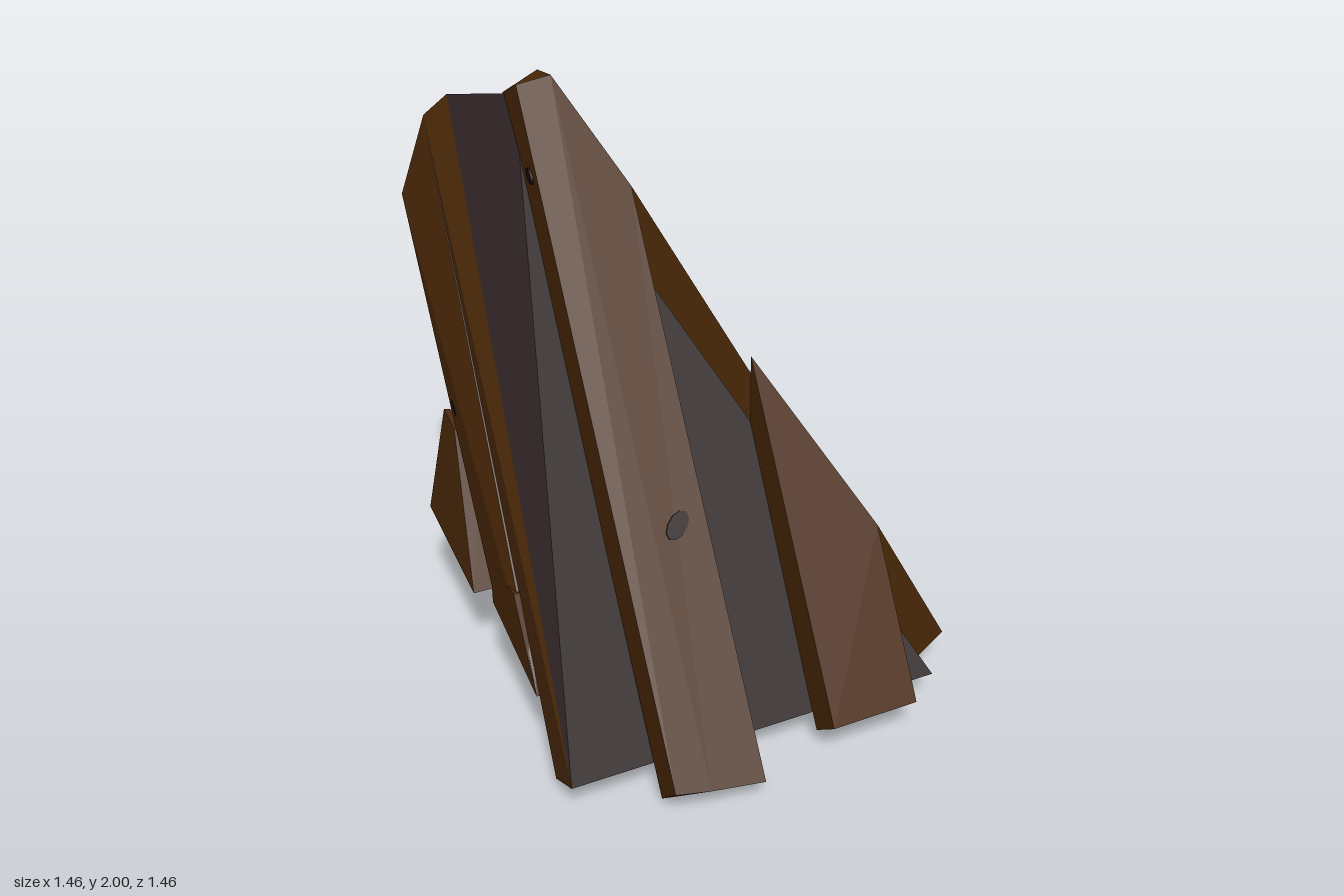
import * as THREE from 'three';

export function createModel() {
  const wood = new THREE.MeshStandardMaterial({ color: 0x4a2808 });
  wood.name = 'brown wood';
  const dark = new THREE.MeshStandardMaterial({ color: 0x1b0405 });
  dark.name = 'dark boarding';
  const model = new THREE.Group();
  model.name = 'cornerRoof';

  // All slopes run parallel: z = k - SLOPE * y
  const SLOPE = 0.568;
  const zAt = (k, y) => k - SLOPE * y;
  const yAt = (k, z) => (k - z) / SLOPE;
  const OUTER = 0.775, SEAT = 0.626, PANEL_IN = 0.42, RAFTER_IN = 0.156;

  // Solid lofted through polygon sections.
  // Groups: 0 body, 1 first cap, 2 foot (the strip along the first edge)
  function loft(sections) {
    const n = sections[0].length, sides = [], first = [], foot = [];
    for (let s = 0; s + 1 < sections.length; s++) {
      const a = sections[s], b = sections[s + 1];
      for (let i = 0; i < n; i++) {
        const j = (i + 1) % n;
        (i ? sides : foot).push(a[i], a[j], b[i], a[j], b[j], b[i]);
      }
    }
    const end = sections[sections.length - 1];
    for (let i = 1; i + 1 < n; i++) {
      first.push(sections[0][0], sections[0][i + 1], sections[0][i]);
      sides.push(end[0], end[i], end[i + 1]);
    }
    const tris = [...sides, ...first, ...foot].map((p) => new THREE.Vector3(...p));
    // Turn the faces outward by the sign of the volume
    let volume = 0;
    for (let i = 0; i < tris.length; i += 3) {
      volume += tris[i].dot(tris[i + 1].clone().cross(tris[i + 2]));
    }
    if (volume < 0) {
      for (let i = 0; i < tris.length; i += 3) {
        [tris[i + 1], tris[i + 2]] = [tris[i + 2], tris[i + 1]];
      }
    }
    const geo = new THREE.BufferGeometry().setFromPoints(tris);
    geo.computeVertexNormals();
    geo.addGroup(0, sides.length, 0);
    geo.addGroup(sides.length, first.length, 1);
    geo.addGroup(sides.length + first.length, foot.length, 2);
    return geo;
  }

  // Each part is made for the front slope and mirrored across the hip (x <-> z)
  const swap = ([x, y, z]) => [z, y, x];
  function addPair(name, sections, body, cap, foot) {
    [sections, sections.map((s) => s.map(swap))].forEach((s, i) => {
      const mesh = new THREE.Mesh(loft(s), [body, cap, foot]);
      mesh.name = (i ? 'side' : 'front') + name;
      model.add(mesh);
    });
  }

  // Section of a sloping board at x, its top mitred on the hip plane z = x
  const mitred = (x, kOut, kIn, outBottom, inBottom) => [
    [x, ...outBottom], [x, ...inBottom], [x, yAt(kIn, x), x], [x, yAt(kOut, x), x],
  ];

  // Dark roof boarding with a tapered, bare wooden edge
  addPair('Boarding', [
    [[-0.73, 0.11, 0.53], [-0.73, 0.05, 0.40], [-0.66, 1.83, -0.66], [-0.6, 1.905, -0.6]],
    [[0.537, 0.11, 0.537], [0.40, 0.05, 0.40], [-0.66, 1.83, -0.66], [-0.44, 1.93, -0.44]],
  ], dark, wood, dark);

  // Long planks meeting at the peak, their tops cut square to the slope
  const longSection = (x, out, inn, cutInner, cutOuter) => [
    [x, ...out], [x, ...inn], [x, yAt(SEAT, x), x], [x, ...cutInner], [x, ...cutOuter],
  ];
  const lowTop = [yAt(OUTER, -0.18), -0.18];
  addPair('LongPlank', [
    longSection(-0.465, [0.11, 0.695], [0.02, 0.595], [1.93, -0.47], [1.985, -0.355]),
    longSection(-0.355, [0.095, 0.71], [0.015, 0.605], [2, -0.355], [2, -0.355]),
    longSection(-0.18, [0.08, 0.73], [0, 0.62], lowTop, lowTop),
  ], wood, wood, dark);

  // Short planks lower on the hip
  addPair('ShortPlank', [0.09, 0.39].map((x) =>
    mitred(x, 0.755, 0.6, [0.14, 0.67], [0.06, 0.565])), wood, wood, dark);

  // Deep rafters along the open edges
  addPair('Rafter', [
    [[-0.73, 0.27, zAt(PANEL_IN, 0.27)], [-0.73, 0.42, zAt(RAFTER_IN, 0.42)],
      [-0.73, 1.56, -0.73], [-0.66, 1.83, -0.66]],
    mitred(-0.5, PANEL_IN, RAFTER_IN,
      [0.27, zAt(PANEL_IN, 0.27)], [0.42, zAt(RAFTER_IN, 0.42)]),
  ], wood, wood, wood);

  // Eaves beams inside the foot of each slope
  const beam = [[0.27, 0.26], [0.55, 0.11], [0.54, -0.1], [0.39, -0.1]];
  addPair('EavesBeam', [
    beam.map(([y, z]) => [-0.73, y, z]),
    beam.map(([y, z]) => [z, y, z]),
  ], wood, wood, wood);

  // Small hipped block in the inner corner, leaning inward
  const block = [[-0.73, 0.3, -0.3], [-0.73, 0.4, -0.73], [-0.67, 0.8, -0.67], [-0.67, 0.77, -0.57]];
  addPair('CornerBlock', [block, block.map(([, y, z]) => [z, y, z])], wood, wood, wood);

  // Knots in the wood, oval and set askew
  function addKnot(position, normal, radius) {
    [[position, normal], [swap(position), swap(normal)]].forEach(([p, d]) => {
      const oval = new THREE.CylinderGeometry(radius, radius, 0.008, 10);
      oval.scale(0.75, 1, 1.25).rotateY(-Math.PI / 4);
      const knot = new THREE.Mesh(oval, dark);
      knot.name = 'knot';
      knot.position.set(...p);
      knot.quaternion.setFromUnitVectors(
        new THREE.Vector3(0, 1, 0), new THREE.Vector3(...d).normalize());
      model.add(knot);
    });
  }
  addKnot([-0.275, 0.79, zAt(OUTER, 0.79) - 0.005], [0, SLOPE, 1], 0.04);
  addKnot([-0.36, 0.97, -0.727], [0, 0, -1], 0.022);
  addKnot([-0.27, 1.73, -0.468], [0, 0, -1], 0.022);

  return model;
}
